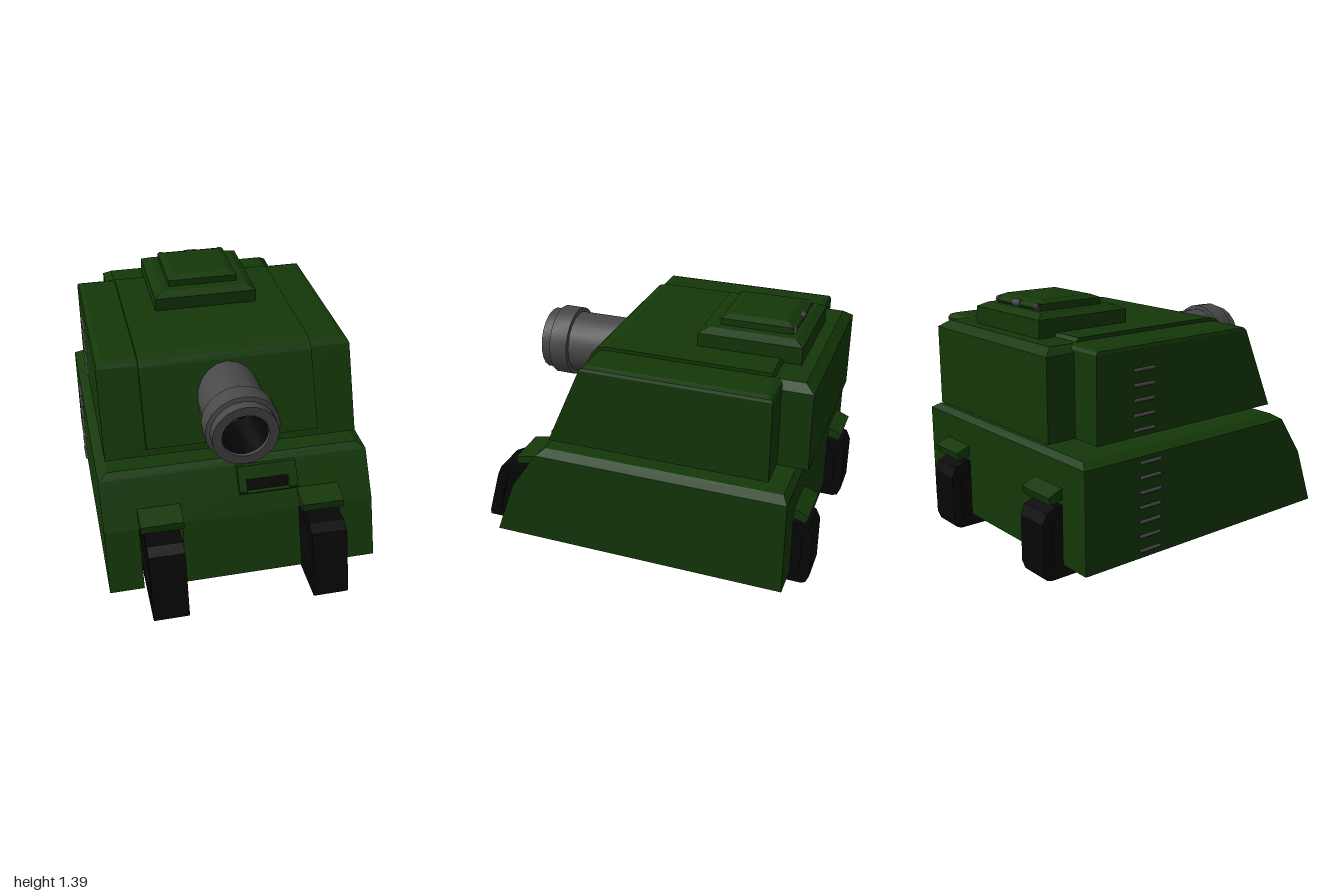
import * as THREE from 'three';
import { toCreasedNormals } from 'three/addons/utils/BufferGeometryUtils.js';

const material = (color, side = THREE.FrontSide) => new THREE.MeshStandardMaterial({ color, side });

// Extrudes a side profile of [z, y] points across x0..x1
function slab(points, x0, x1, hole) {
  const toVec = ([z, y]) => new THREE.Vector2(z, y);
  const shape = new THREE.Shape(points.map(toVec));
  if (hole) shape.holes.push(new THREE.Path(hole.map(toVec)));
  const geo = new THREE.ExtrudeGeometry(shape, { depth: x1 - x0, bevelEnabled: false });
  return geo.rotateY(-Math.PI / 2).translate(x1, 0, 0);
}

// Flat-sided block through rectangular levels [y, half width, front z, back z]
function loft(levels) {
  const rings = levels.map(([y, w, f, b]) => [[-w, y, f], [w, y, f], [w, y, b], [-w, y, b]]);
  const pos = [];
  const quad = (a, b, c, d) => pos.push(...a, ...b, ...c, ...a, ...c, ...d);
  for (let k = 0; k < rings.length - 1; k++) {
    const lo = rings[k], hi = rings[k + 1];
    for (let i = 0; i < 4; i++) {
      const j = (i + 1) % 4;
      quad(lo[i], lo[j], hi[j], hi[i]);
    }
  }
  quad(...rings[rings.length - 1]);
  quad(...[...rings[0]].reverse());
  const geo = new THREE.BufferGeometry();
  geo.setAttribute('position', new THREE.Float32BufferAttribute(pos, 3));
  geo.computeVertexNormals();
  return geo;
}

export function createModel() {
  const model = new THREE.Group();
  const body = new THREE.Group();
  body.name = 'tank';
  body.position.x = 0.005;
  model.add(body);

  const green = material(0x143808), black = material(0x070707);
  const grey = material(0x484848, THREE.DoubleSide), dark = material(0x050505, THREE.DoubleSide);

  const add = (name, geo, mat, parent = body) => {
    const mesh = new THREE.Mesh(geo, mat);
    mesh.name = name;
    parent.add(mesh);
  };

  // Hull: slabs side by side, leaving two channels for the tracks
  const upper = [[0.70, 0.41], [0.54, 0.64], [-0.892, 0.64]];
  const full = [[0.82, 0.08], ...upper, [-0.892, 0.08]];
  const cap = [...upper, [-0.892, 0.41]];
  add('rightSkirt', slab(full, -0.768, -0.575), green);
  add('rightChannelRoof', slab(cap, -0.575, -0.335), green);
  add('hullCentre', slab(full, -0.335, 0.335), green);
  add('leftChannelRoof', slab(cap, 0.335, 0.575), green);
  add('leftSkirt', slab(full, 0.575, 0.768), green);
  add('hullDeck', loft([[0.64, 0.768, 0.54, -0.892], [0.67, 0.715, 0.50, -0.86]]), green);

  // Tracks with recessed sides, and mudguards at both ends
  const trackOuter = [[1, 0], [1, 0.03], [0.92, 0.31], [0.895, 0.365], [0.84, 0.395],
    [-0.92, 0.395], [-0.975, 0.375], [-1, 0.32], [-1, 0.06], [-0.98, 0.01], [-0.95, 0]];
  const trackInner = [[0.93, 0.06], [0.86, 0.31], [0.82, 0.34], [-0.91, 0.34], [-0.94, 0.31], [-0.94, 0.06]];
  const frontGuard = [[0.77, 0.43], [0.77, 0.475], [0.645, 0.50], [0.60, 0.50], [0.60, 0.41], [0.68, 0.445]];
  const rearGuard = [[-0.85, 0.45], [-0.85, 0.505], [-0.89, 0.50], [-0.975, 0.465], [-0.96, 0.42]];
  for (const [side, x] of [['left', 0.457], ['right', -0.455]]) {
    add(side + 'TrackBand', slab(trackOuter, x - 0.1, x + 0.1, trackInner), black);
    add(side + 'TrackCore', slab(trackInner, x - 0.08, x + 0.08), black);
    add(side + 'FrontMudguard', slab(frontGuard, x - 0.12, x + 0.12), green);
    add(side + 'RearMudguard', slab(rearGuard, x - 0.12, x + 0.12), green);
  }

  // Driver's vision slot
  const slotBox = [[0.655, 0.515], [0.66, 0.535], [0.578, 0.653], [0.53, 0.635], [0.55, 0.515]];
  const slotTop = [[0.621, 0.59], [0.578, 0.653], [0.53, 0.635], [0.55, 0.59]];
  const slotLip = [[0.655, 0.515], [0.66, 0.524], [0.57, 0.524], [0.57, 0.515]];
  const slotBack = [[0.636, 0.522], [0.59, 0.59], [0.55, 0.59], [0.56, 0.522]];
  add('slotRightFrame', slab(slotBox, 0.002, 0.046), green);
  add('slotLeftFrame', slab(slotBox, 0.287, 0.338), green);
  add('slotHood', slab(slotTop, 0.046, 0.287), green);
  add('slotSill', slab(slotLip, 0.046, 0.287), green);
  add('slotOpening', slab(slotBack, 0.046, 0.287), dark);

  // Turret
  add('turretRing', loft([[0.66, 0.55, 0.33, -0.60], [0.74, 0.572, 0.363, -0.625]]), green);
  add('turretBody', loft([[0.73, 0.717, 0.475, -0.775], [1.19, 0.717, 0.27, -0.775],
    [1.205, 0.71, 0.255, -0.765], [1.215, 0.68, 0.225, -0.74]]), green);
  add('turretBustle', loft([[0.73, 0.537, -0.6, -0.943], [1.175, 0.537, -0.6, -0.943],
    [1.213, 0.49, -0.6, -0.89]]), green);
  add('turretPlate', slab([[0.455, 0.77], [0.497, 0.79], [0.295, 1.19], [0.265, 1.222], [0.215, 1.235],
    [-0.71, 1.235], [-0.73, 1.21], [0.2, 1.2], [0.26, 1.17]], -0.487, 0.487), green);

  // Hatch and its hinge
  add('hatchBase', loft([[1.2, 0.303, -0.247, -0.822], [1.31, 0.303, -0.247, -0.822],
    [1.335, 0.255, -0.295, -0.775]]), green);
  add('hatchLid', loft([[1.33, 0.206, -0.347, -0.745], [1.372, 0.206, -0.347, -0.745],
    [1.39, 0.165, -0.388, -0.705]]), green);
  const hinge = new THREE.Group();
  hinge.name = 'hatchHinge';
  hinge.position.set(0, 1.356, -0.745);
  body.add(hinge);
  const pin = (name, x, radius, length, mat) =>
    add(name, new THREE.CylinderGeometry(radius, radius, length, 12).rotateZ(Math.PI / 2).translate(x, 0, 0), mat, hinge);
  pin('hingeBar', 0, 0.016, 0.37, green);
  pin('hingeCentre', 0, 0.02, 0.07, grey);
  for (const s of [-1, 1]) pin('hingeEnd', s * 0.185, 0.02, 0.02, grey);

  // Gun barrel along z with a muzzle collar and hollow bore
  const gun = new THREE.Group();
  gun.name = 'gun';
  gun.position.y = 0.998;
  body.add(gun);
  const revolve = pts => toCreasedNormals(new THREE.LatheGeometry(
    pts.map(([r, z]) => new THREE.Vector2(r, z)), 20).rotateX(Math.PI / 2), 0.6);
  add('barrel', revolve([[0.18, 0.2], [0.18, 0.595], [0.204, 0.597], [0.204, 0.705], [0.18, 0.712],
    [0.18, 0.768], [0.128, 0.768], [0.128, 0.73]]), grey, gun);
  add('bore', revolve([[0.127, 0.75], [0.127, 0.45], [0, 0.45]]), dark, gun);

  // Climbing rungs on the right side
  function rung(x, y) {
    const path = new THREE.CurvePath();
    const pts = [[0.03, -0.4], [0, -0.4], [0, -0.53], [0.03, -0.53]]
      .map(([dx, z]) => new THREE.Vector3(x + dx, y, z));
    for (let i = 0; i < 3; i++) path.add(new THREE.LineCurve3(pts[i], pts[i + 1]));
    add('rung', new THREE.TubeGeometry(path, 24, 0.01, 8), grey);
  }
  for (let i = 0; i < 7; i++) rung(-0.771, 0.12 + i * 0.081);
  for (let i = 0; i < 5; i++) rung(-0.719, 0.765 + i * 0.079);

  return model;
}
